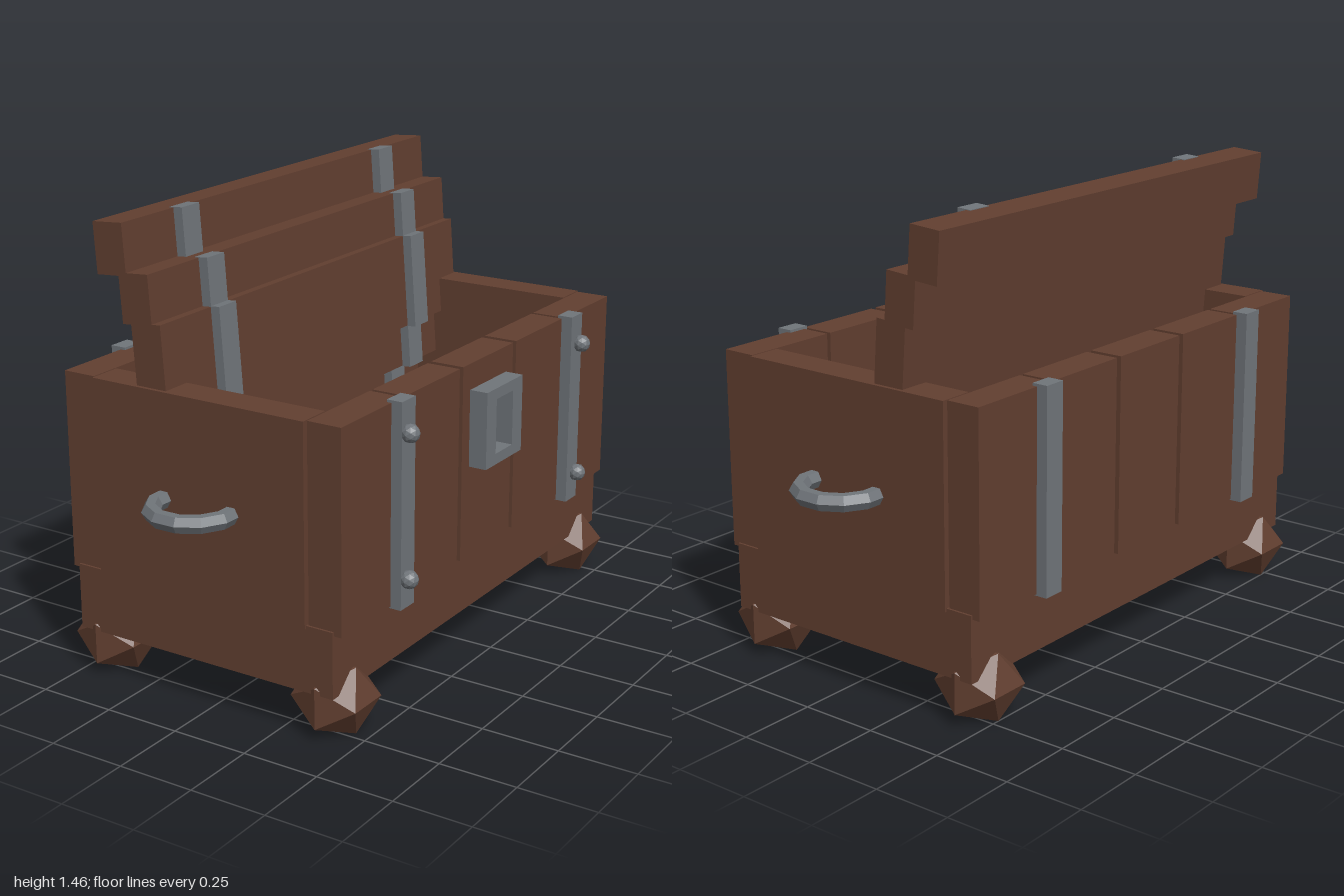
import * as THREE from 'three';

const wood = new THREE.MeshStandardMaterial({ color: 0x623f30 });
wood.name = 'brown wood';
const metal = new THREE.MeshStandardMaterial({ color: 0x70757a });
metal.name = 'grey iron';
// faceted low-poly look
wood.flatShading = true;
metal.flatShading = true;

function add(parent, name, geometry, material, x = 0, y = 0, z = 0) {
  const mesh = new THREE.Mesh(geometry, material);
  mesh.name = name;
  mesh.position.set(x, y, z);
  parent.add(mesh);
  return mesh;
}

// box given by its lower and upper corner
function slab(parent, name, material, [x0, y0, z0], [x1, y1, z1]) {
  return add(parent, name, new THREE.BoxGeometry(x1 - x0, y1 - y0, z1 - z0), material,
    (x0 + x1) / 2, (y0 + y1) / 2, (z0 + z1) / 2);
}

export function createModel() {
  const chest = new THREE.Group();
  chest.name = 'chest';

  // base slab
  slab(chest, 'base', wood, [-0.488, 0.15, -0.832], [0.444, 0.36, 0.832]);

  // feet
  for (const x of [-0.43, 0.384]) {
    for (const z of [-0.725, 0.725]) {
      const foot = add(chest, 'foot', new THREE.IcosahedronGeometry(0.133), wood, x, 0.106, z);
      foot.scale.y = 0.936;
    }
  }

  // upright boards of the two long sides, with narrow gaps
  const spans = [[-0.825, -0.502], [-0.488, -0.177], [-0.156, 0.156], [0.177, 0.488], [0.502, 0.825]];
  for (const [z0, z1] of spans) {
    slab(chest, 'hingeSideBoard', wood, [-0.514, 0.347, z0], [-0.403, 0.975, z1]);
    slab(chest, 'lockSideBoard', wood, [0.358, 0.347, z0], [0.47, 0.975, z1]);
  }

  for (const s of [-1, 1]) {
    // end panel
    add(chest, 'endPanel', new THREE.BoxGeometry(0.751, 0.625, 0.111), wood, -0.0225, 0.6625, s * 0.782);

    // ring handle, half sunk into the end panel
    const ring = new THREE.TorusGeometry(0.126, 0.028, 6, 12);
    ring.rotateZ(Math.PI / 12).rotateX(Math.PI / 2);
    add(chest, 'handle', ring, metal, -0.022, 0.645, s * 0.851);

    // straps on the long sides, with bolts on the lock side
    const z0 = s * 0.528 - 0.037, z1 = s * 0.528 + 0.037;
    slab(chest, 'hingeSideStrap', metal, [-0.55, 0.342, z0], [-0.498, 0.983, z1]);
    slab(chest, 'lockSideStrap', metal, [0.455, 0.342, z0], [0.506, 0.983, z1]);
    for (const y of [0.436, 0.886]) {
      add(chest, 'bolt', new THREE.IcosahedronGeometry(0.029, 1), metal, 0.519, y, s * 0.54);
    }
  }

  // lock plate with an opening
  const plate = new THREE.Shape();
  plate.moveTo(-0.112, 0.645).lineTo(0.112, 0.645).lineTo(0.112, 0.892).lineTo(-0.112, 0.892).closePath();
  const hole = new THREE.Path();
  hole.moveTo(-0.052, 0.68).lineTo(-0.052, 0.857).lineTo(0.052, 0.857).lineTo(0.052, 0.68).closePath();
  plate.holes.push(hole);
  const lock = new THREE.ExtrudeGeometry(plate, { depth: 0.06, bevelEnabled: false });
  lock.rotateY(Math.PI / 2);
  add(chest, 'lockPlate', lock, metal, 0.47);

  // open lid: five stepped planks, each with two straps
  const lid = new THREE.Group();
  lid.name = 'lid';
  lid.position.set(-0.189, 1.01, 0);
  lid.rotation.z = 0.072;
  chest.add(lid);
  const planks = [[0, 0, 0.312], [0.226, -0.03, 0.152], [0.37, -0.108, 0.156],
    [-0.226, -0.03, 0.152], [-0.37, -0.108, 0.156]];
  for (const [y, x, h] of planks) {
    add(lid, 'lidPlank', new THREE.BoxGeometry(0.106, h, 1.65), wood, x, y, 0);
    for (const s of [-1, 1]) {
      add(lid, 'lidStrap', new THREE.BoxGeometry(0.045, h + 0.004, 0.084), metal, x + 0.062, y, s * 0.542);
    }
  }

  return chest;
}
